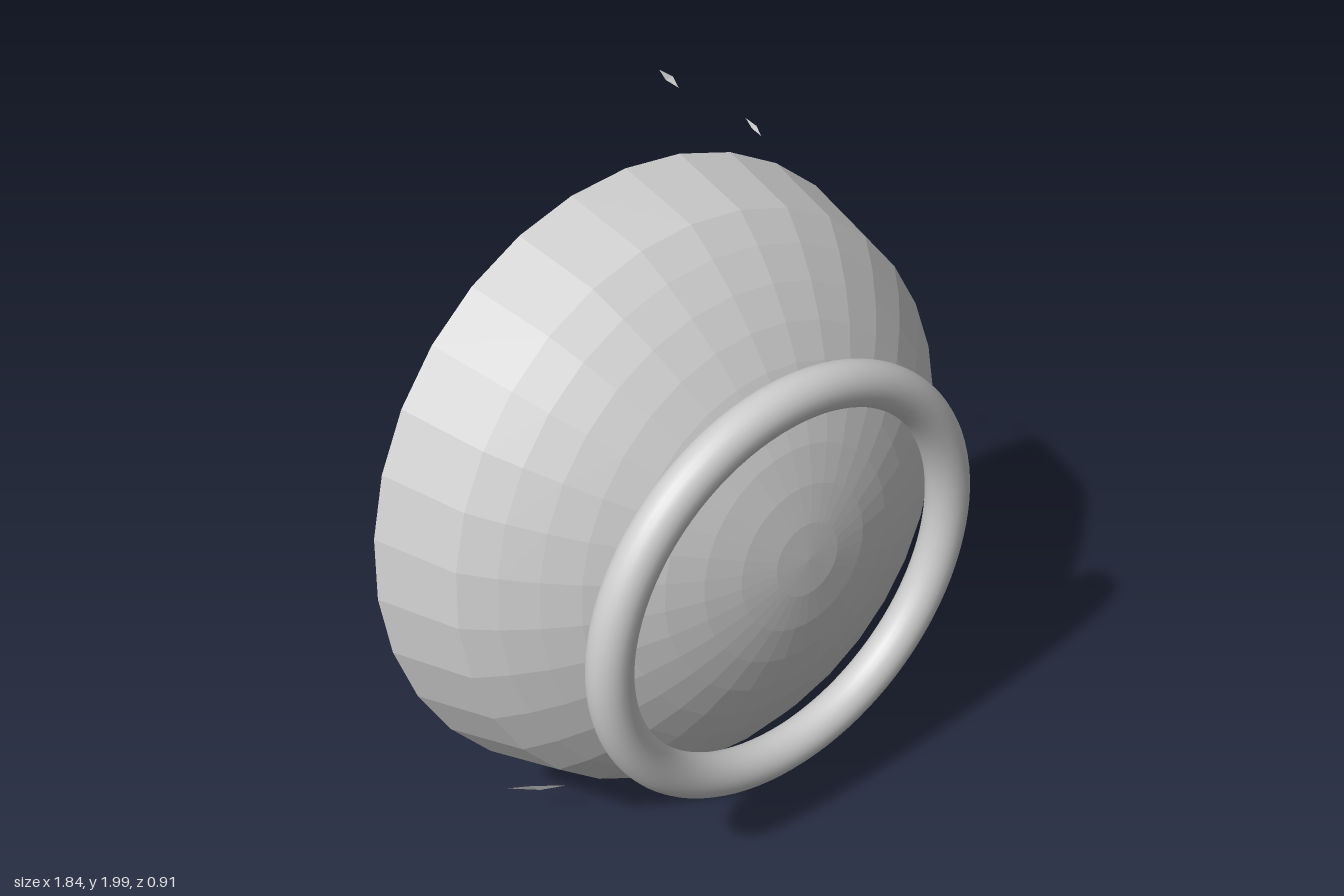
import * as THREE from 'three';

export function createModel() {
  const model = new THREE.Group();
  const color = 0xcccccc;
  const facetedGrey = new THREE.MeshStandardMaterial({ color, flatShading: true, side: THREE.DoubleSide });
  facetedGrey.name = 'light grey faceted';
  const smoothGrey = new THREE.MeshStandardMaterial({ color });
  smoothGrey.name = 'light grey smooth';

  const add = (name, geometry, material) => {
    const mesh = new THREE.Mesh(geometry, material);
    mesh.name = name;
    model.add(mesh);
    return mesh;
  };

  // Open bowl: a straight rim band, then a spherical cap, tipped to face forward
  const R = 1.093, centre = -0.43, rows = 9, step = Math.PI / 32;
  const profile = [new THREE.Vector2(0.922, 0)];
  for (let i = rows; i >= 0; i--) {
    profile.push(new THREE.Vector2(R * Math.sin(i * step), centre + R * Math.cos(i * step)));
  }
  const bowl = add('bowl', new THREE.LatheGeometry(profile, 32), facetedGrey);
  bowl.rotation.x = Math.PI / 2 - 0.105;
  bowl.position.set(0, 0.93, -0.2075);

  // Round foot ring on the front
  const ring = add('footRing', new THREE.TorusGeometry(0.597, 0.063, 24, 96), smoothGrey);
  ring.position.set(-0.02, 0.89, 0.39);

  // Loose slivers: thin tapered ribbons along three points
  const sliver = (name, a, b, c, width) => {
    const [x, y, z] = width;
    const low = [b[0] - x, b[1] - y, b[2] - z];
    const high = [b[0] + x, b[1] + y, b[2] + z];
    const geometry = new THREE.BufferGeometry();
    geometry.setAttribute('position', new THREE.Float32BufferAttribute([a, low, high, c].flat(), 3));
    geometry.setIndex([0, 1, 2, 2, 1, 3]);
    geometry.computeVertexNormals();
    add(name, geometry, facetedGrey);
  };
  sliver('upperSliver', [0.235, 2.0, -0.455], [0.255, 1.975, -0.437], [0.27, 1.95, -0.415], [0.009, 0.004, 0.004]);
  sliver('middleSliver', [0.46, 1.82, -0.36], [0.472, 1.797, -0.337], [0.48, 1.775, -0.315], [0.006, 0.003, 0.002]);
  sliver('lowerSliver', [-0.62, 0.13, -0.12], [-0.565, 0.15, -0.05], [-0.5, 0.165, 0.01], [0.012, -0.012, 0.004]);

  return model;
}
